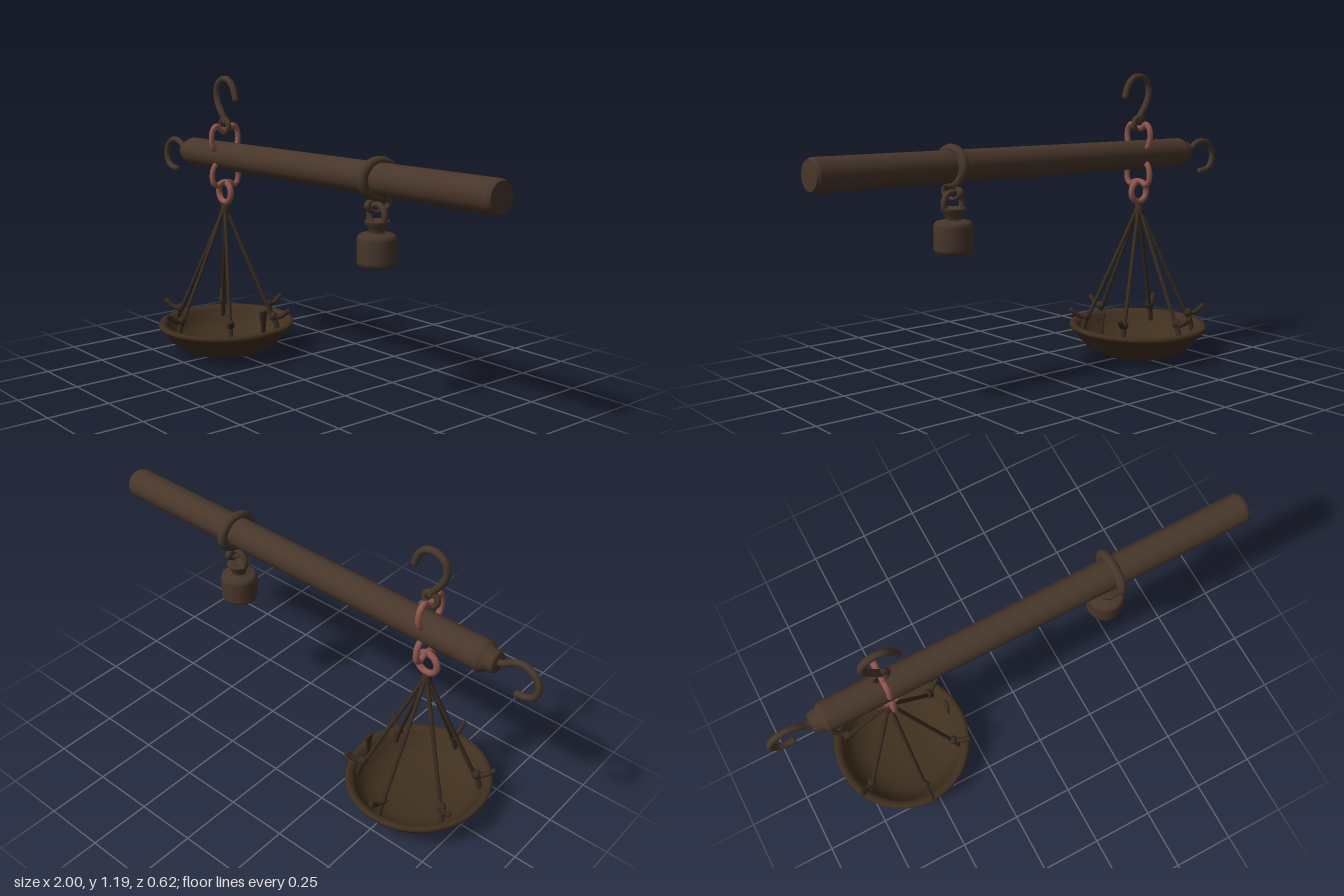
import * as THREE from 'three';

const mat = (name, color) => {
  const m = new THREE.MeshStandardMaterial({ color });
  m.name = name;
  return m;
};

export function createModel() {
  const root = new THREE.Group();
  const wood = mat('dark brown', 0x48362a);
  const iron = mat('aged iron', 0x46362a);
  const panMat = mat('pan brown', 0x40301f);
  const cordMat = mat('cord brown', 0x382b20);
  const copper = mat('reddish copper', 0x8c554c);

  const add = (name, geo, material, parent = root) => {
    const m = new THREE.Mesh(geo, material);
    m.name = name;
    parent.add(m);
    return m;
  };
  const vec = (p) => new THREE.Vector3(...p);
  // Round bar along a smooth path, with ball ends
  const bar = (name, pts, r, material, parent = root, seg = 40) => {
    const path = new THREE.CatmullRomCurve3(pts.map(vec));
    const g = new THREE.Group();
    g.name = name;
    parent.add(g);
    add(name + 'Bar', new THREE.TubeGeometry(path, seg, r, 10), material, g);
    for (const p of [pts[0], pts[pts.length - 1]]) {
      add(name + 'End', new THREE.SphereGeometry(r, 10, 8), material, g).position.set(...p);
    }
    return g;
  };
  const lathe = (name, pts, material, parent = root, seg = 48) =>
    add(name, new THREE.LatheGeometry(pts.map((p) => new THREE.Vector2(...p)), seg), material, parent);
  const ring = (name, R, r, x, y, material, turn = 0) => {
    const m = add(name, new THREE.TorusGeometry(R, r, 12, 36), material);
    m.position.set(x, y, 0);
    m.rotation.y = turn;
    return m;
  };

  // Beam with a stepped nose and a softened far end
  const beam = lathe('beam', [
    [0, -0.825], [0.036, -0.825], [0.042, -0.815], [0.044, -0.79], [0.058, -0.775], [0.06, -0.765],
    [0.06, -0.3], [0.061, 0.4], [0.062, 0.985], [0.062, 0.985], [0.055, 0.998], [0.055, 0.998], [0, 1],
  ], wood);
  beam.rotation.z = -Math.PI / 2 + 0.005;
  beam.position.y = 0.859;

  // Hook on the nose of the beam
  bar('noseHook', [
    [-0.8, 0.855, 0], [-0.84, 0.862, 0], [-0.875, 0.885, 0], [-0.92, 0.896, 0], [-0.963, 0.878, 0],
    [-0.987, 0.835, 0], [-0.976, 0.79, 0], [-0.945, 0.77, 0], [-0.91, 0.765, 0],
  ], 0.013, iron);

  // Suspension hook and its eye
  bar('topHook', [
    [-0.45, 1.1, 0], [-0.467, 1.145, 0], [-0.5, 1.175, 0], [-0.54, 1.178, 0], [-0.575, 1.155, 0],
    [-0.586, 1.11, 0], [-0.57, 1.065, 0], [-0.545, 1.03, 0], [-0.527, 1.0, 0],
  ], 0.014, iron);
  ring('topHookEye', 0.028, 0.012, -0.53, 0.983, iron);

  // Paired links biting into the beam, dipping through the eyes above and below
  const upper = [[0, 0.965], [0.022, 0.97], [0.042, 0.984], [0.06, 0.97], [0.068, 0.935], [0.058, 0.895], [0.03, 0.875]];
  const lower = [[0, 0.746], [0.022, 0.742], [0.042, 0.732], [0.06, 0.742], [0.067, 0.775], [0.058, 0.81], [0.03, 0.835]];
  for (const s of [1, -1]) {
    bar('upperLink', upper.map(([z, y]) => [-0.53, y, z * s]), 0.012, copper);
    bar('lowerLink', lower.map(([z, y]) => [-0.53, y, z * s]), 0.012, copper);
  }
  ring('panEye', 0.043, 0.013, -0.535, 0.7, copper);

  // Pan hanging from six cords
  const pan = new THREE.Group();
  pan.name = 'pan';
  pan.position.x = -0.536;
  pan.scale.x = 0.95;
  root.add(pan);
  lathe('panDish', [
    [0, 0], [0.11, 0.002], [0.17, 0.012], [0.22, 0.036], [0.255, 0.07], [0.275, 0.105], [0.295, 0.116],
    [0.299, 0.127], [0.292, 0.136], [0.272, 0.134], [0.262, 0.118], [0.24, 0.083], [0.21, 0.05],
    [0.16, 0.03], [0.1, 0.021], [0, 0.02],
  ], panMat, pan, 64);
  lathe('cordKnot', [
    [0, 0.595], [0.02, 0.6], [0.024, 0.612], [0.018, 0.635], [0.012, 0.66], [0, 0.665],
  ], cordMat, pan, 20);
  for (let i = 0; i < 6; i++) {
    const a = Math.PI / 6 + (i * Math.PI) / 3;
    const at = (r, y) => [Math.cos(a) * r, y, Math.sin(a) * r];
    bar('cord', [at(0.008, 0.625), at(0.12, 0.385), at(0.232, 0.15)], 0.0085, cordMat, pan, 10);
    bar('cordFoot', [at(0.232, 0.165), at(0.24, 0.14), at(0.25, 0.1)], 0.011, cordMat, pan, 8);
    add('cordBead', new THREE.SphereGeometry(0.019, 12, 8), cordMat, pan).position.set(...at(0.23, 0.172));
    bar('cordTail', [at(0.232, 0.165), at(0.265, 0.175), at(0.298, 0.2)], 0.0105, cordMat, pan, 10);
  }
  // Flared tab on the rim
  const tab = lathe('rimTab', [
    [0, 0.1], [0.012, 0.1], [0.012, 0.15], [0.018, 0.19], [0.023, 0.213], [0.017, 0.22], [0, 0.221],
  ], cordMat, pan, 16);
  tab.scale.x = 0.4;
  tab.position.set(0.245, 0, -0.025);

  // Sliding collar with its hanging loop
  const collar = ring('collar', 0.07, 0.019, 0.42, 0.862, iron, Math.PI / 2);
  collar.scale.set(1.1, 0.93, 1);
  const loop = ring('collarLoop', 0.047, 0.012, 0.42, 0.768, iron, Math.PI / 2);
  loop.scale.set(1.1, 0.55, 1);
  ring('weightEye', 0.041, 0.012, 0.417, 0.727, iron);

  // Counterweight with a flared neck
  const weight = lathe('weight', [
    [0, 0.54], [0.062, 0.54], [0.071, 0.547], [0.074, 0.558], [0.074, 0.64], [0.071, 0.652], [0.062, 0.66],
    [0.03, 0.661], [0.029, 0.67], [0.036, 0.688], [0.047, 0.703], [0.044, 0.711], [0.03, 0.707], [0, 0.7],
  ], iron, root, 40);
  weight.position.x = 0.417;

  return root;
}
